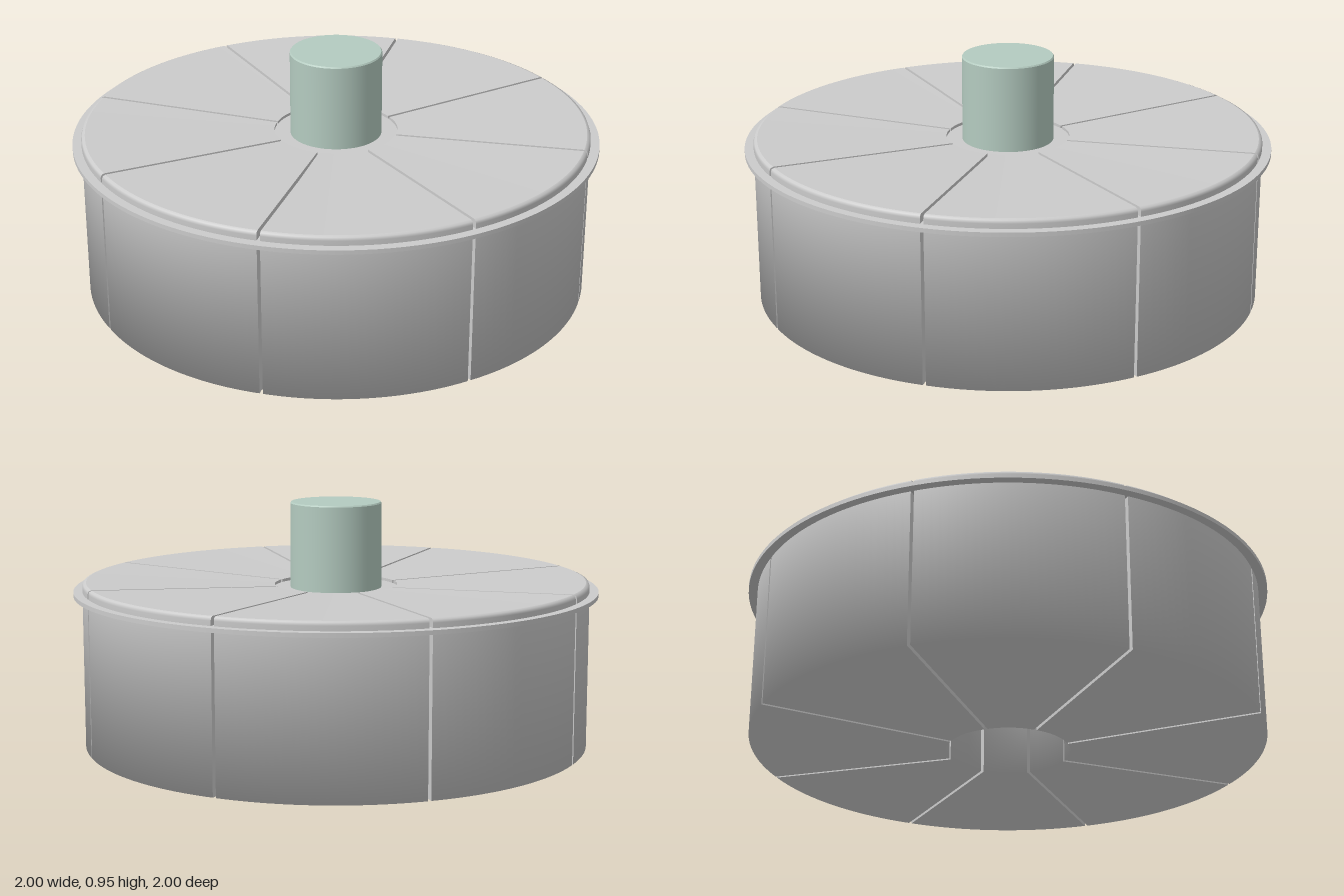
import * as THREE from 'three';

const SECTORS = 8;
const STEP = (Math.PI * 2) / SECTORS;
const PHASE = THREE.MathUtils.degToRad(15.7); // direction of the first gap
const GAP = 0.012;
const OFFSET = GAP / 2 / Math.sin(STEP / 2); // outward shift that opens parallel gaps

const grey = new THREE.MeshStandardMaterial({ color: 0xcccccc });
const greyThin = new THREE.MeshStandardMaterial({ color: 0xcccccc, side: THREE.DoubleSide });
const green = new THREE.MeshStandardMaterial({ color: 0xb4cbc0 });

function addMesh(parent, name, geometry, material) {
  const mesh = new THREE.Mesh(geometry, material);
  mesh.name = name;
  parent.add(mesh);
  return mesh;
}

// Radial section of one compartment, sagging slightly towards the hub.
// Repeated points keep the top edges sharp; the lower edges shade smoothly.
function sectionProfile() {
  const inner = 0.235 - OFFSET, outer = 0.966 - OFFSET;
  return [
    [inner, 0.63], [inner, 0],
    [outer, 0.02],
    [outer, 0.637], [outer - 0.004, 0.648], [outer - 0.014, 0.652],
    [outer - 0.014, 0.652], [inner, 0.63],
  ].map(([r, y]) => new THREE.Vector2(r, y));
}

function createModel() {
  const model = new THREE.Group();
  model.name = 'sectoredDrum';

  // Eight wedge-shaped compartments around an open hub
  const profile = sectionProfile();
  const shell = new THREE.LatheGeometry(profile, 24, -STEP / 2, STEP);
  const side = new THREE.ShapeGeometry(new THREE.Shape(profile));
  for (let i = 0; i < SECTORS; i++) {
    const wedge = new THREE.Group();
    wedge.name = `compartment${i + 1}`;
    wedge.rotation.y = PHASE + (i + 0.5) * STEP;
    const body = new THREE.Group();
    body.position.z = OFFSET;
    wedge.add(body);
    addMesh(body, 'compartmentShell', shell, grey);
    for (const s of [-1, 1]) {
      addMesh(body, 'compartmentSide', side, greyThin).rotation.y = (s * STEP) / 2 - Math.PI / 2;
    }
    model.add(wedge);
  }

  // Thin carrier disc that forms the rim
  addMesh(model, 'carrierDisc', new THREE.CylinderGeometry(1, 1, 0.016, 128), grey).position.y = 0.611;

  // Central shaft with a tiny chamfer on top
  const shaftPoints = [
    [0.174, 0.615], [0.174, 0.942], [0.174, 0.942], [0.17, 0.947], [0.17, 0.947], [0, 0.947],
  ].map(([r, y]) => new THREE.Vector2(r, y));
  addMesh(model, 'shaft', new THREE.LatheGeometry(shaftPoints, 64), green);

  return model;
}

export { createModel };
